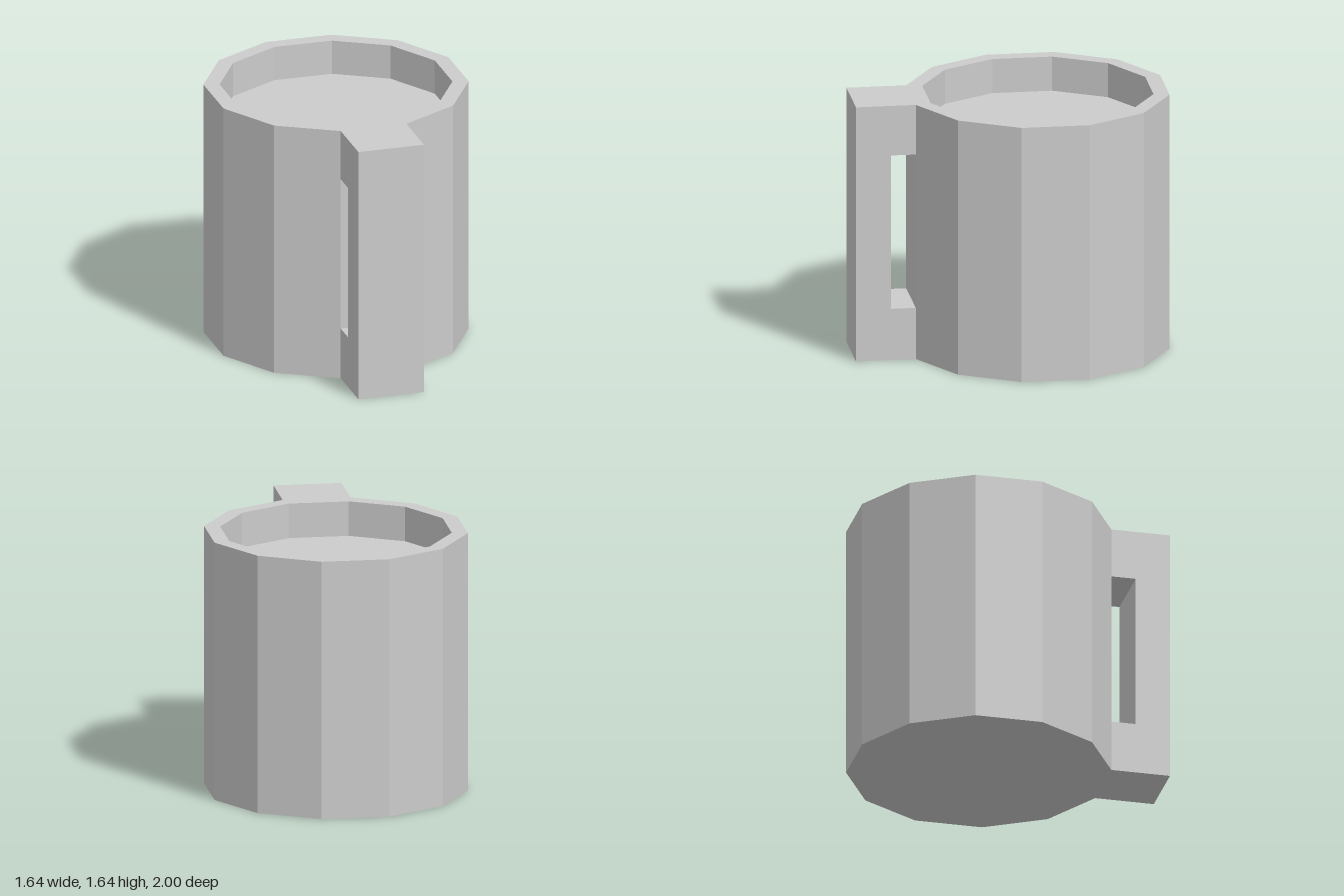
import * as THREE from 'three';

const SIDES = 12;
const RADIUS = 0.82;
const INNER = 0.72;
const HEIGHT = 1.64;
const FILL_LEVEL = 1.42;

export function createModel() {
  const mug = new THREE.Group();
  mug.name = 'mug';
  mug.position.z = -0.18;
  const material = new THREE.MeshStandardMaterial({ color: 0xcccccc, flatShading: true });

  const add = (name, geometry) => {
    const mesh = new THREE.Mesh(geometry, material);
    mesh.name = name;
    mug.add(mesh);
    return mesh;
  };

  // Twelve-sided cup: base, outer wall, rim and inner wall
  const profile = [
    [0, 0], [RADIUS, 0], [RADIUS, HEIGHT], [INNER, HEIGHT], [INNER, FILL_LEVEL],
  ].map(([r, y]) => new THREE.Vector2(r, y));
  add('cup', new THREE.LatheGeometry(profile, SIDES));

  // Flat surface inside the cup, just below the rim
  const fill = add('fill', new THREE.CircleGeometry(INNER, SIDES));
  fill.rotation.x = -Math.PI / 2;
  fill.position.y = FILL_LEVEL;

  // Square C-shaped handle, as wide as the wall facet it grows from
  const half = Math.PI / SIDES;
  const wall = RADIUS * Math.cos(half);
  const width = 2 * RADIUS * Math.sin(half);
  const grip = wall + 0.155;
  const outer = wall + 0.373;
  const outline = [
    [wall, 0], [outer, 0], [outer, HEIGHT], [wall, HEIGHT],
    [wall, 1.32], [grip, 1.32], [grip, 0.33], [wall, 0.33],
  ].map(([x, y]) => new THREE.Vector2(x, y));
  const handleGeometry = new THREE.ExtrudeGeometry(new THREE.Shape(outline), {
    depth: width, bevelEnabled: false,
  });
  handleGeometry.translate(0, 0, -width / 2);
  const handle = add('handle', handleGeometry);
  handle.rotation.y = -Math.PI / 2 - half;

  const model = new THREE.Group();
  model.add(mug);
  return model;
}
